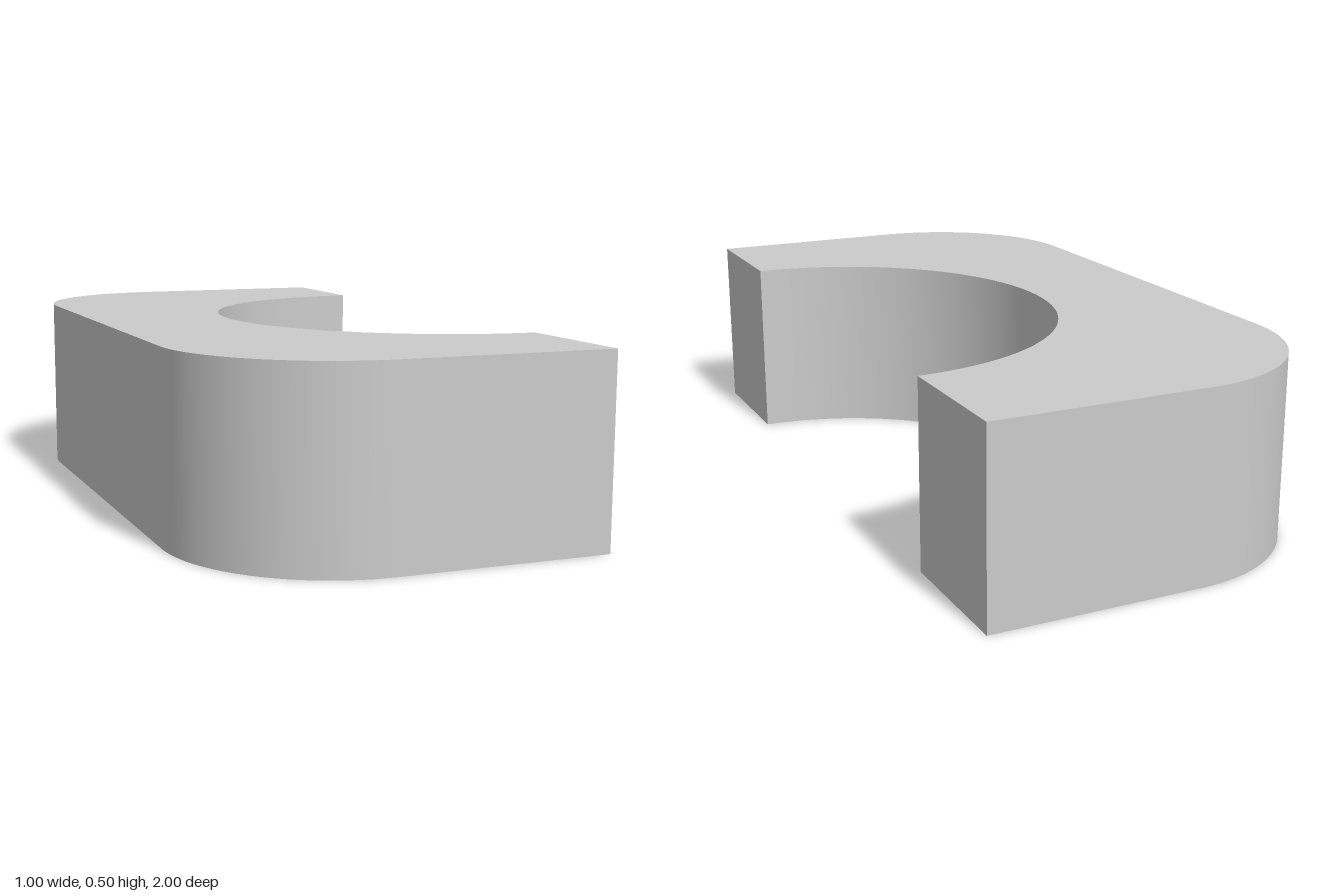
import * as THREE from 'three';
import { toCreasedNormals } from 'three/addons/utils/BufferGeometryUtils.js';

export function createModel() {
  const group = new THREE.Group();
  const corner = 0.43, bore = 0.625, height = 0.5;
  const cx = -0.5 + corner, cz = 1 - corner;

  // C-shaped outline: rounded back corners, half-round bore in the open side
  const outline = new THREE.Shape();
  outline.moveTo(0.5, 1);
  outline.lineTo(cx, 1);
  outline.absarc(cx, cz, corner, Math.PI / 2, Math.PI, false);
  outline.lineTo(-0.5, -cz);
  outline.absarc(cx, -cz, corner, Math.PI, Math.PI * 1.5, false);
  outline.lineTo(0.5, -1);
  outline.lineTo(0.5, -bore);
  outline.absarc(0.5, 0, bore, Math.PI * 1.5, Math.PI / 2, true);
  outline.closePath();

  // Stand the extrusion upright on the ground
  const geometry = new THREE.ExtrudeGeometry(outline, {
    depth: height, bevelEnabled: false, curveSegments: 32,
  });
  geometry.rotateX(-Math.PI / 2);

  const block = new THREE.Mesh(
    toCreasedNormals(geometry, 0.6),
    new THREE.MeshStandardMaterial({ color: 0xcccccc }),
  );
  block.name = 'clampBlock';
  group.add(block);
  return group;
}
